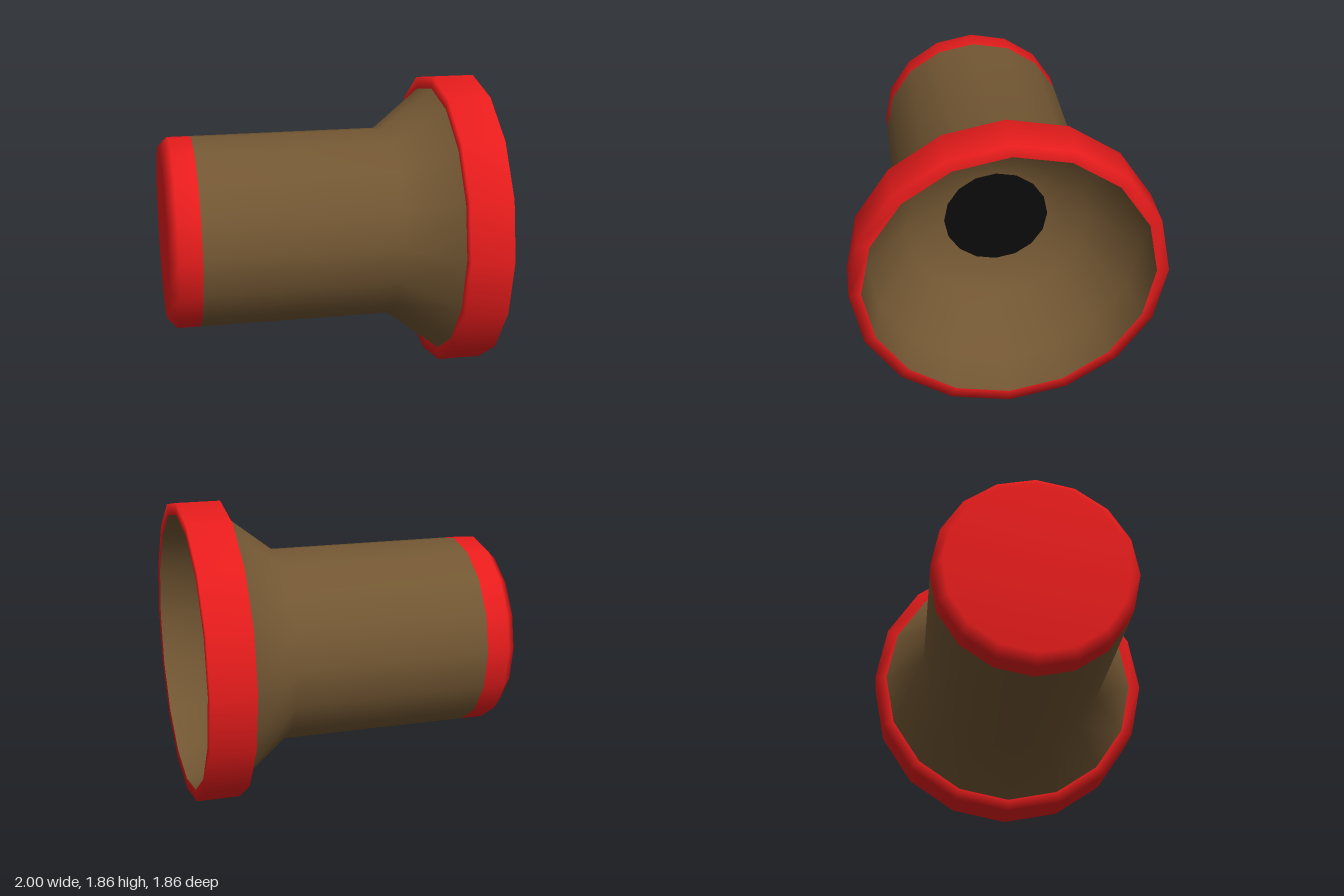
import * as THREE from 'three';

const SIDES = 16;
const AXIS_HEIGHT = 0.932;

// Turns a [radius, x] profile around the horizontal x axis.
function turned(name, color, profile) {
  const points = profile.map(([r, x]) => new THREE.Vector2(r, x));
  const geometry = new THREE.LatheGeometry(points, SIDES);
  geometry.rotateZ(-Math.PI / 2);
  const mesh = new THREE.Mesh(
    geometry,
    new THREE.MeshStandardMaterial({ color, side: THREE.DoubleSide })
  );
  mesh.name = name;
  mesh.position.y = AXIS_HEIGHT;
  return mesh;
}

export function createModel() {
  const model = new THREE.Group();
  model.name = 'flaredBarrel';
  const brown = 0x735733, red = 0xe81c1c, black = 0x0b0b0b;

  model.add(
    // closed, chamfered end
    turned('endCap', red, [[0, -1], [0.545, -1], [0.606, -0.94], [0.606, -0.8]]),
    // straight barrel opening into a cone
    turned('barrel', brown, [[0.606, -0.8], [0.606, 0.41], [0.855, 0.73]]),
    // thick band around the mouth
    turned('mouthRing', red, [[0.855, 0.73], [0.932, 0.73], [0.932, 1], [0.86, 1]]),
    // hollow inside of the flare, down to the bore
    turned('flareInside', brown, [[0.86, 1], [0.82, 0.74], [0.56, 0.41], [0.323, 0.35]]),
    // dark bore
    turned('bore', black, [[0.323, 0.35], [0, 0.35]])
  );
  return model;
}
